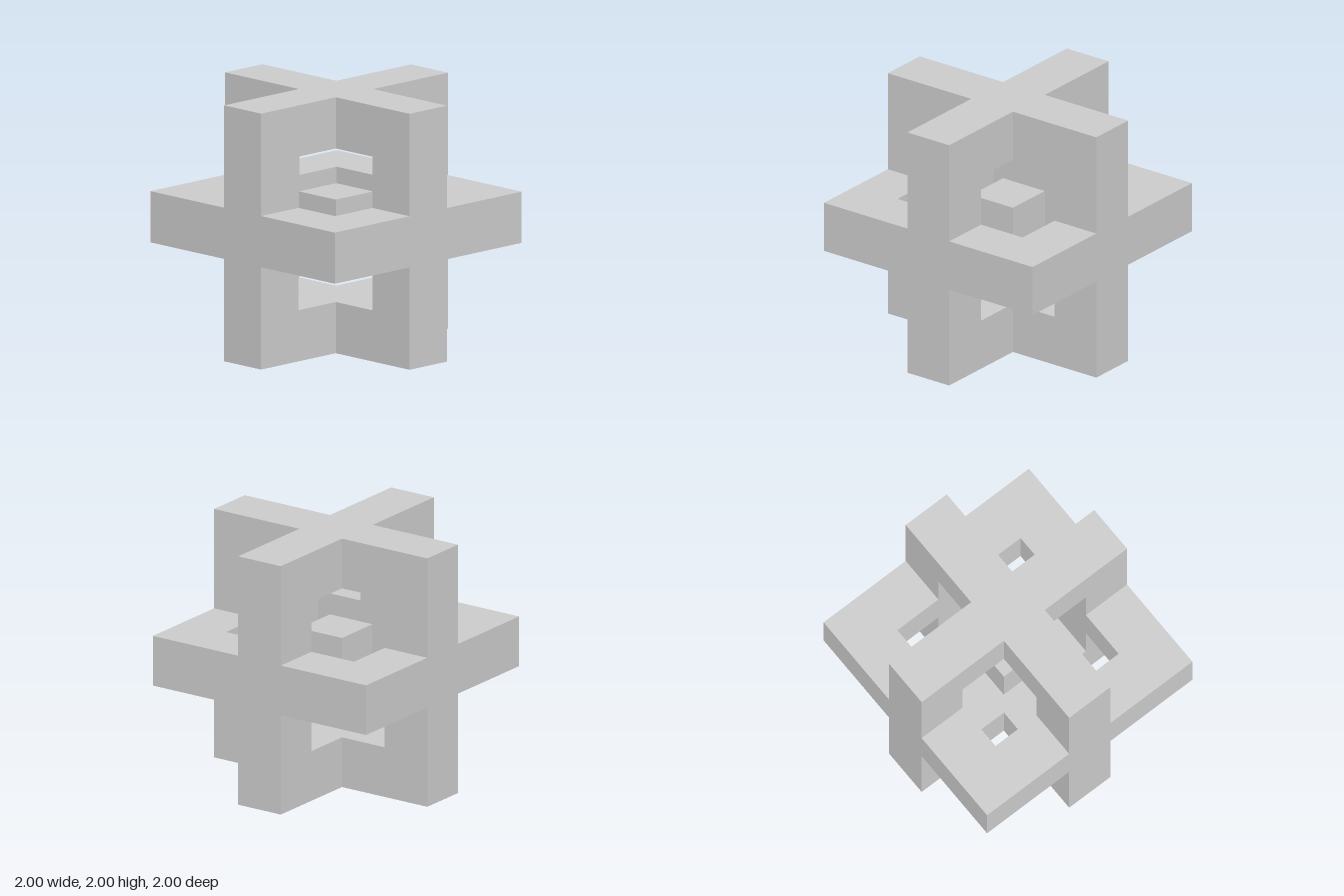
import * as THREE from 'three';
import { mergeGeometries } from 'three/addons/utils/BufferGeometryUtils.js';

const W = 0.2; // half thickness of each slab, and of the core
const I = 0.6; // half size of the inner opening
const R = 1.0; // half size of the whole

const face = (points) =>
  new THREE.ShapeGeometry(new THREE.Shape(points.map(([x, y]) => new THREE.Vector2(x, y))));

// Plus-shaped face with arms reaching out to r
const plus = (r) => face([
  [W, W], [W, r], [-W, r], [-W, W], [-r, W], [-r, -W],
  [-W, -W], [-W, -r], [W, -r], [W, -W], [r, -W], [r, W],
]);

// L-shaped face of one frame corner, in the +x +y quadrant
const corner = () => face([[I, W], [R, W], [R, R], [W, R], [W, I], [I, I]]);

// All faces of the three crossed frames that belong to the +z direction
function sideGeometry() {
  const parts = [
    plus(R).translate(0, 0, R),                   // outer end
    plus(I).rotateY(Math.PI).translate(0, 0, I),  // wall of the inner opening
  ];
  for (let i = 0; i < 4; i++) {
    parts.push(corner().rotateZ(i * Math.PI / 2).translate(0, 0, W));
  }
  return mergeGeometries(parts);
}

export function createModel() {
  const group = new THREE.Group();
  group.name = 'crossedFramesWithCore';
  const material = new THREE.MeshStandardMaterial({ color: 0xcccccc, flatShading: true });

  // Three interlocking square frames: the same side turned in six directions
  const sides = [];
  for (let i = 0; i < 4; i++) sides.push(sideGeometry().rotateY(i * Math.PI / 2));
  for (const s of [-1, 1]) sides.push(sideGeometry().rotateX(s * Math.PI / 2));
  const frames = new THREE.Mesh(mergeGeometries(sides), material);
  frames.name = 'crossedFrames';

  // Free cube in the middle of the opening
  const core = new THREE.Mesh(new THREE.BoxGeometry(2 * W, 2 * W, 2 * W), material);
  core.name = 'coreCube';

  for (const mesh of [frames, core]) {
    mesh.position.y = R;
    group.add(mesh);
  }
  return group;
}
